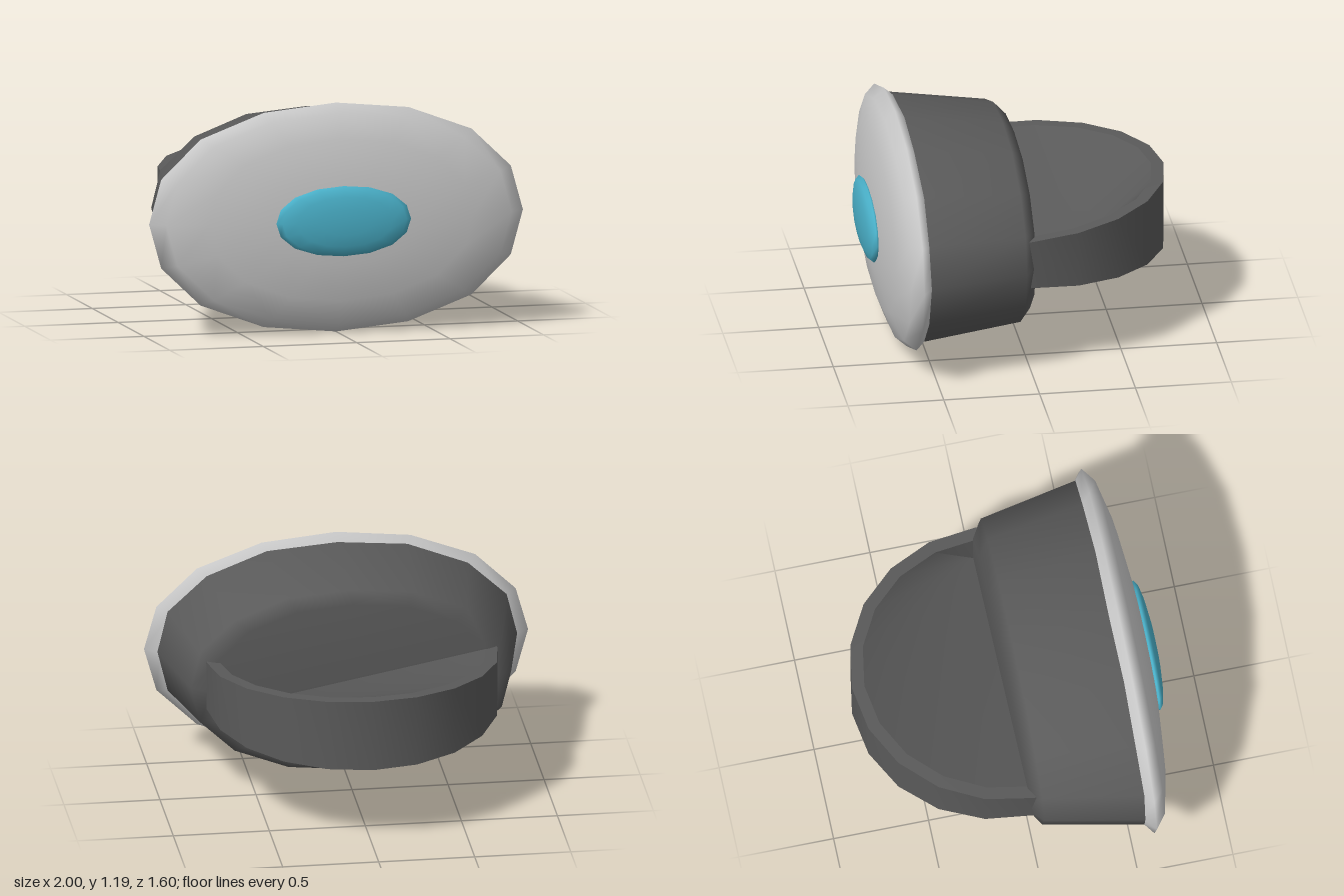
import * as THREE from 'three';
import { toCreasedNormals } from 'three/addons/utils/BufferGeometryUtils.js';

const CY = 0.597;       // height of the lamp axis
const STRAP_Y = 0.62;   // height of the strap's middle
const STRAP = { rx: 0.757, rz: 0.8, thickness: 0.065, steps: 10 };

function mesh(name, geometry, color) {
  const m = new THREE.Mesh(geometry, new THREE.MeshStandardMaterial({ color }));
  m.name = name;
  return m;
}

// Push a round outline slightly outwards on its diagonals
function swellDiagonals(geometry, amount, power) {
  const p = geometry.attributes.position;
  for (let i = 0; i < p.count; i++) {
    const angle = Math.atan2(p.getY(i), p.getX(i));
    const k = 1 + amount * Math.pow(Math.abs(Math.sin(2 * angle)), power);
    p.setXY(i, p.getX(i) * k, p.getY(i) * k);
  }
  return geometry;
}

// Flattened ball whose poles point along z
function lensGeometry(rx, ry, rz) {
  const ball = new THREE.SphereGeometry(1, 16, 8).rotateX(Math.PI / 2);
  return swellDiagonals(ball, 0.025, 2).scale(rx, ry, rz);
}

// Point on the strap at step i, moved inwards by inset; side is -1 bottom, 1 top
function strapPoint(i, inset, side) {
  const a = (i / STRAP.steps) * Math.PI, s = Math.sin(a);
  return [Math.cos(a) * (STRAP.rx - inset), side * (0.13 + 0.06 * s), -s * (STRAP.rz - inset)];
}

// Half-ellipse strap: a rectangular section swept behind the housing
function strapGeometry() {
  const { steps, thickness } = STRAP, pos = [], index = [];
  const ring = (i, dz) => {
    for (const [inset, side] of [[0, -1], [0, 1], [thickness, 1], [thickness, -1]]) {
      const [x, y, z] = strapPoint(i, inset, side);
      pos.push(x, y, z + dz);
    }
  };
  ring(0, 0.06); // buried end
  for (let i = 0; i <= steps; i++) ring(i, 0);
  ring(steps, 0.06); // buried end
  const last = (steps + 2) * 4;
  for (let i = 0; i < last; i += 4) {
    for (let k = 0; k < 4; k++) {
      const a = i + k, b = i + (k + 1) % 4;
      index.push(a, a + 4, b, b, a + 4, b + 4);
    }
  }
  index.push(0, 1, 2, 0, 2, 3, last, last + 2, last + 1, last, last + 3, last + 2);
  const g = new THREE.BufferGeometry();
  g.setAttribute('position', new THREE.Float32BufferAttribute(pos, 3));
  g.setIndex(index);
  return toCreasedNormals(g, 0.7);
}

// Shallow fan from one rim of the strap to the opposite corner at the housing
function webGeometry(side) {
  const { rx, thickness, steps } = STRAP, pos = [], index = [];
  pos.push(side * (rx - thickness), -side * 0.13, -0.015);
  for (let i = 0; i <= steps; i++) pos.push(...strapPoint(i, thickness, side));
  for (let i = 1; i <= steps; i++) {
    if (side > 0) index.push(0, i, i + 1);
    else index.push(0, i + 1, i);
  }
  const g = new THREE.BufferGeometry();
  g.setAttribute('position', new THREE.Float32BufferAttribute(pos, 3));
  g.setIndex(index);
  g.computeVertexNormals();
  return g;
}

export function createModel() {
  const group = new THREE.Group();
  const dark = 0x5a5a5a;

  // Front lens and the coloured button on it
  const lens = mesh('frontLens', lensGeometry(1, CY, 0.15), 0xcccccc);
  lens.position.set(0, CY, 0.6);
  const button = mesh('centerButton', lensGeometry(0.36, 0.183, 0.05), 0x4bb3cc);
  button.position.set(0, CY, 0.75);

  // Tapered oval housing with a softly bevelled back, closed under the lens
  const profile = [[0, -0.02], [0.44, -0.02], [0.498, 0.04], [0.56, 0.56], [0.53, 0.65], [0, 0.69]]
    .map(([r, z]) => new THREE.Vector2(r, z));
  const shell = new THREE.LatheGeometry(profile, 16).rotateX(Math.PI / 2);
  const housing = mesh('housing', swellDiagonals(shell, 0.027, 1).scale(1.675, 1, 1), dark);
  housing.position.y = CY;

  // Strap behind the housing, with the two webs that fill it
  const strap = new THREE.Group();
  strap.name = 'strap';
  strap.position.y = STRAP_Y;
  strap.add(mesh('strapBand', strapGeometry(), dark));
  for (const side of [1, -1]) {
    const web = mesh(side > 0 ? 'upperWeb' : 'lowerWeb', webGeometry(side), dark);
    web.material.side = THREE.DoubleSide;
    strap.add(web);
  }

  group.add(lens, button, housing, strap);
  return group;
}
